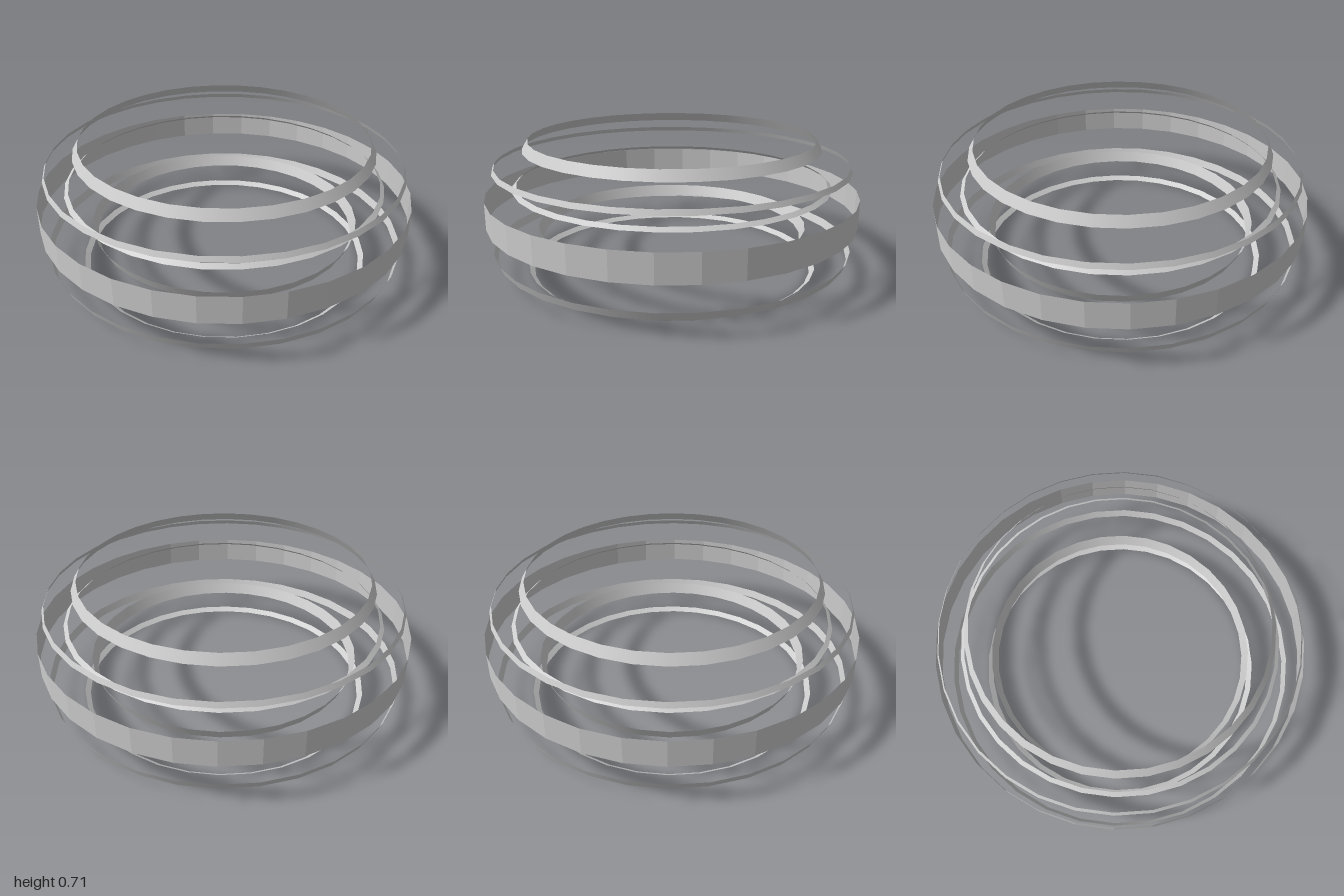
import * as THREE from 'three';

const SEGMENTS = 32;

// Thin open band: a straight profile turned around the y axis
function makeBand(name, rBottom, yBottom, rTop, yTop, flatShading = false) {
  const profile = [new THREE.Vector2(rBottom, yBottom), new THREE.Vector2(rTop, yTop)];
  const material = new THREE.MeshStandardMaterial({
    color: 0xcccccc, side: THREE.DoubleSide, flatShading,
  });
  const mesh = new THREE.Mesh(new THREE.LatheGeometry(profile, SEGMENTS), material);
  mesh.name = name;
  return mesh;
}

export function createModel() {
  const group = new THREE.Group();
  group.name = 'stackedRings';
  group.add(
    // Upper bands narrow upwards
    makeBand('topBand', 0.795, 0.663, 0.765, 0.713),
    makeBand('upperWideBand', 0.955, 0.565, 0.943, 0.59),
    makeBand('upperInnerBand', 0.857, 0.46, 0.835, 0.478),
    // Broad upright belt with faceted sides
    makeBand('middleBelt', 1, 0.28, 1, 0.425, true),
    // Lower bands widen upwards
    makeBand('lowerInnerBand', 0.703, 0.18, 0.73, 0.238),
    makeBand('lowerWideBand', 0.953, 0.098, 0.97, 0.14),
    makeBand('bottomBand', 0.765, 0, 0.793, 0.021),
  );
  return group;
}
